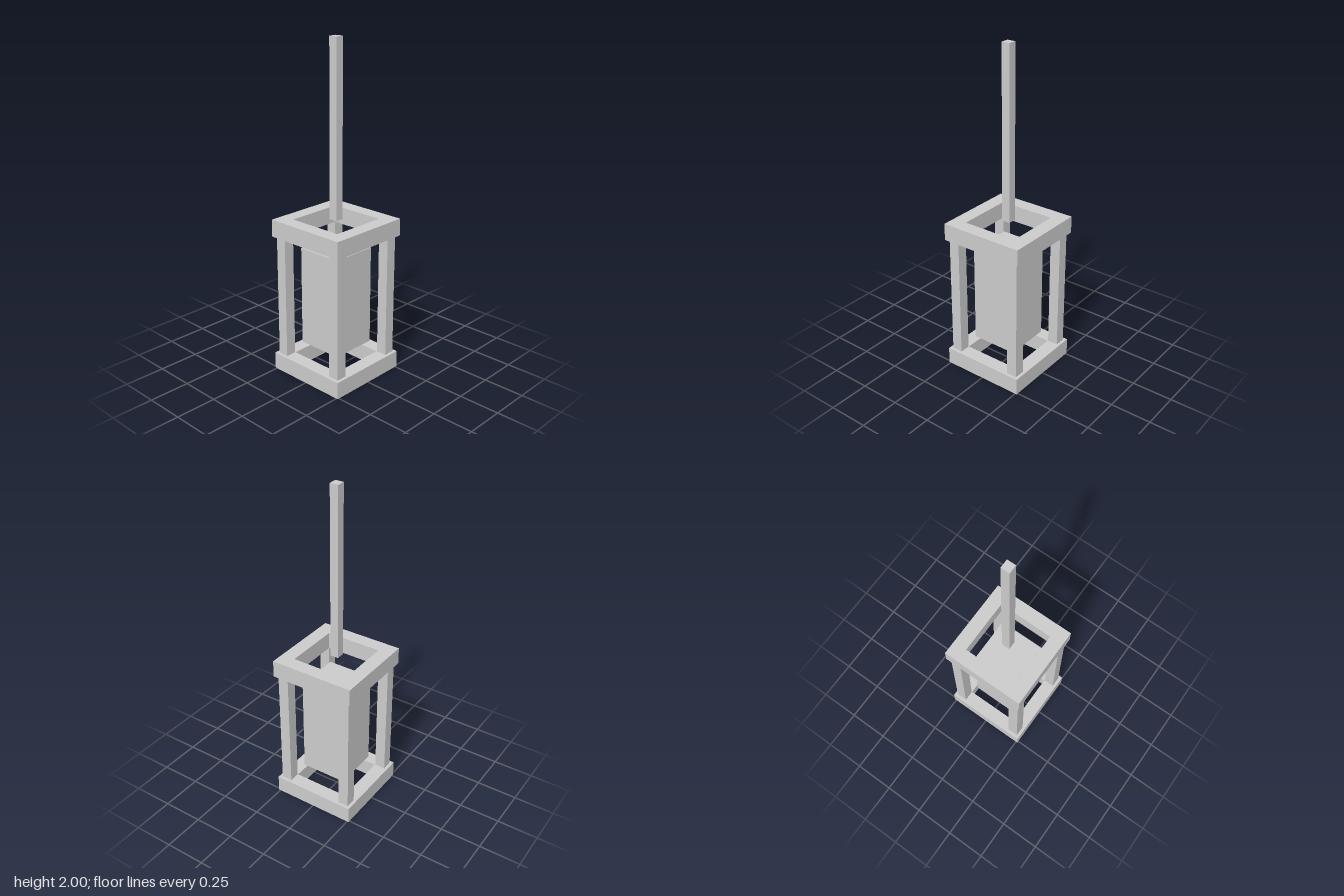
import * as THREE from 'three';

const material = new THREE.MeshStandardMaterial({ color: 0xcccccc, flatShading: true });

function addMesh(parent, name, geometry, x, y, z) {
  const mesh = new THREE.Mesh(geometry, material);
  mesh.name = name;
  mesh.position.set(x, y, z);
  parent.add(mesh);
}

// Counter-clockwise square outline of the given half width
function square(half, PathType) {
  return new PathType([[-1, -1], [1, -1], [1, 1], [-1, 1]].map(
    ([x, y]) => new THREE.Vector2(x * half, y * half)));
}

export function createModel() {
  const model = new THREE.Group();
  model.name = 'hangingLantern';

  const height = 0.96; // lantern body
  const frameThickness = 0.104;

  // Square ring frames at the bottom and top
  const ring = square(0.261, THREE.Shape);
  ring.holes.push(square(0.174, THREE.Path));
  const frame = new THREE.ExtrudeGeometry(ring, { depth: frameThickness, bevelEnabled: false });
  frame.rotateX(-Math.PI / 2);
  addMesh(model, 'bottomFrame', frame, 0, 0, 0);
  addMesh(model, 'topFrame', frame, 0, height - frameThickness, 0);

  // Corner posts between the frames
  const post = new THREE.BoxGeometry(0.066, height - 2 * frameThickness, 0.066);
  for (const [side, x] of [['Left', 0.209], ['Right', -0.209]]) {
    for (const [end, z] of [['front', 0.209], ['back', -0.209]]) {
      addMesh(model, `${end}${side}Post`, post, x, height / 2, z);
    }
  }

  // Light block floating in the middle
  addMesh(model, 'lightBlock', new THREE.BoxGeometry(0.287, 0.606, 0.287), 0, height / 2, 0);

  // Hanging rod, starting level with the top frame
  const rodLength = 2 - height;
  addMesh(model, 'hangingRod', new THREE.BoxGeometry(0.052, rodLength, 0.052), 0, height + rodLength / 2, 0);

  return model;
}
